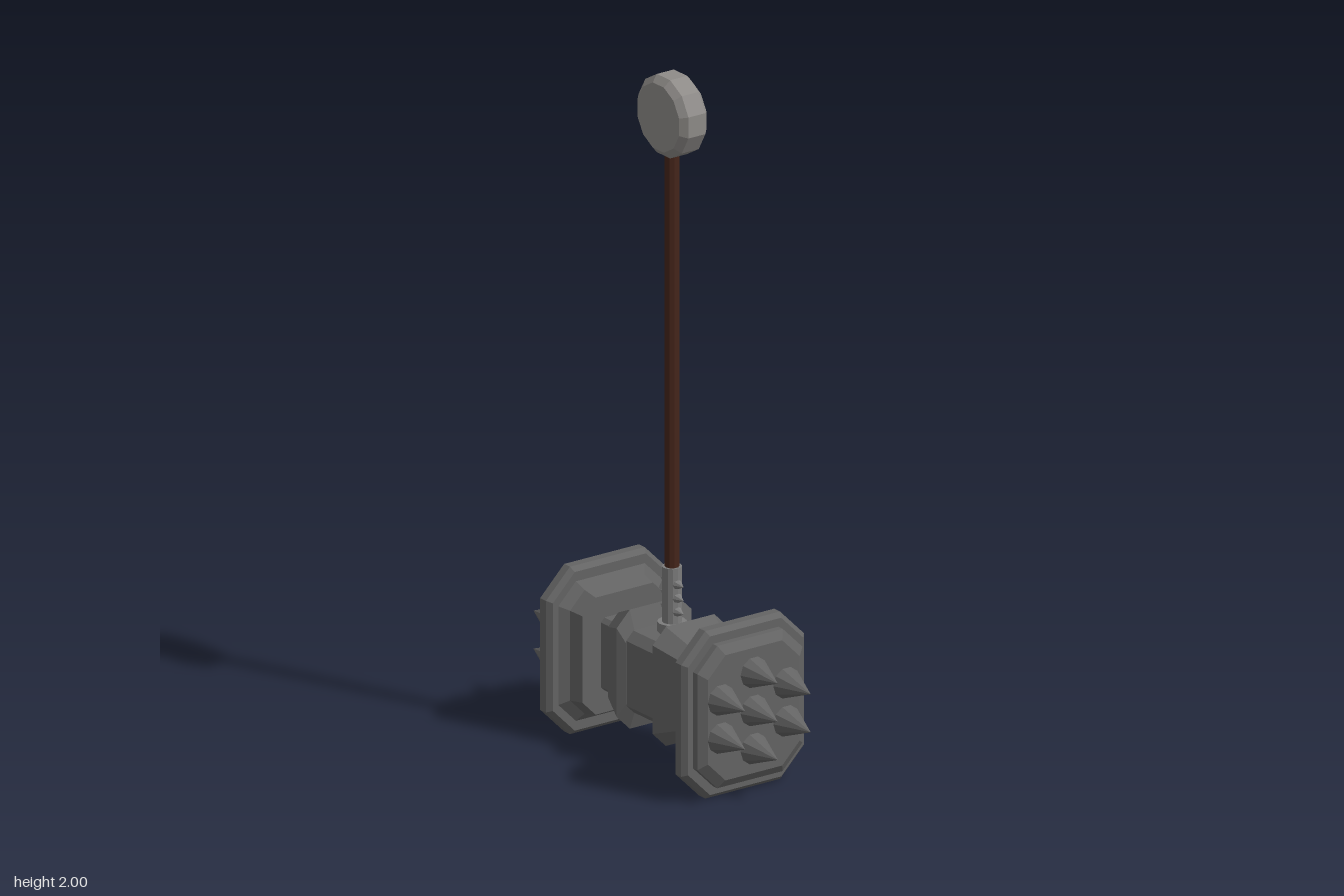
import * as THREE from 'three';

const mat = (name, color) => {
  const m = new THREE.MeshStandardMaterial({ color, flatShading: true });
  m.name = name;
  return m;
};

// Lofts chamfered rectangles along x; each section is [x, halfHeight, halfDepth, chamfer]
function loftX(sections) {
  const rings = sections.map(([x, h, d, c]) => [
    [h, -d + c], [h, d - c], [h - c, d], [-h + c, d],
    [-h, d - c], [-h, -d + c], [-h + c, -d], [h - c, -d],
  ].map(([y, z]) => [x, y, z]));
  const pos = [];
  const tri = (...pts) => pts.forEach(p => pos.push(...p));
  for (let i = 0; i < rings.length - 1; i++) {
    for (let j = 0; j < 8; j++) {
      const k = (j + 1) % 8;
      const a = rings[i][j], b = rings[i][k], c = rings[i + 1][k], d = rings[i + 1][j];
      tri(a, b, c);
      tri(a, c, d);
    }
  }
  const first = rings[0], last = rings[rings.length - 1];
  for (let j = 1; j < 7; j++) {
    tri(first[0], first[j + 1], first[j]);
    tri(last[0], last[j], last[j + 1]);
  }
  const g = new THREE.BufferGeometry();
  g.setAttribute('position', new THREE.Float32BufferAttribute(pos, 3));
  g.computeVertexNormals();
  return g;
}

export function createModel() {
  const model = new THREE.Group();
  model.name = 'spikedWarHammer';
  const iron = mat('dark iron', 0x646464);
  const steel = mat('steel', 0x7c7c7c);
  const pommelMetal = mat('pale metal', 0x8e8b88);
  const wood = mat('dark wood', 0x45251a);

  const add = (name, geometry, material, x = 0, y = 0, z = 0, parent = model) => {
    const mesh = new THREE.Mesh(geometry, material);
    mesh.name = name;
    mesh.position.set(x, y, z);
    parent.add(mesh);
    return mesh;
  };

  // Hammer body
  const headY = 0.247;
  add('centreBlock', loftX([[-0.08, 0.12, 0.11, 0.025], [0.08, 0.12, 0.11, 0.025]]), iron, 0, headY);
  add('neck', loftX([[-0.24, 0.107, 0.08, 0.012], [0.24, 0.107, 0.08, 0.012]]), iron, 0, headY);

  const collar = loftX([
    [0.062, 0.12, 0.112, 0.03], [0.083, 0.175, 0.128, 0.045], [0.163, 0.138, 0.098, 0.035],
  ]);
  const striker = loftX([
    [0.22, 0.172, 0.143, 0.045], [0.265, 0.182, 0.152, 0.05], [0.284, 0.205, 0.178, 0.06],
    [0.284, 0.233, 0.197, 0.075], [0.298, 0.246, 0.21, 0.082], [0.325, 0.246, 0.21, 0.082],
    [0.339, 0.233, 0.197, 0.075], [0.339, 0.209, 0.18, 0.068],
    [0.359, 0.209, 0.18, 0.068], [0.377, 0.184, 0.157, 0.06],
  ]);
  const spike = new THREE.ConeGeometry(0.046, 0.112, 10).rotateZ(-Math.PI / 2);
  const spikeSpots = [[0, 0], [0.112, 0], [-0.112, 0], [0.056, 0.112], [0.056, -0.112],
    [-0.056, 0.112], [-0.056, -0.112]];

  // Both striking ends, the second turned half round
  for (const [side, turn] of [['left', 0], ['right', Math.PI]]) {
    const end = new THREE.Group();
    end.name = side + 'End';
    end.position.y = headY;
    end.rotation.y = turn;
    model.add(end);
    add(side + 'Collar', collar, iron, 0, 0, 0, end);
    add(side + 'Striker', striker, iron, 0, 0, 0, end);
    spikeSpots.forEach(([y, z]) => add(side + 'Spike', spike, iron, 0.432, y, z, end));
  }

  // Socket with its small studs
  add('socketBase', new THREE.CylinderGeometry(0.041, 0.041, 0.035, 12), steel, 0, 0.378);
  add('socket', new THREE.CylinderGeometry(0.028, 0.028, 0.175, 12), steel, 0, 0.47);
  const stud = new THREE.ConeGeometry(0.016, 0.032, 8);
  for (const y of [0.43, 0.47, 0.51]) {
    for (const s of [-1, 1]) {
      add('socketStud', stud, steel, s * 0.038, y).rotation.z = -s * Math.PI / 2;
    }
  }

  // Handle
  add('handle', new THREE.CylinderGeometry(0.021, 0.021, 1.25, 10), wood, 0, 1.165);

  // Bevelled twelve-sided pommel facing front
  const outline = [[0, -0.047], [0.099, -0.047], [0.119, -0.029], [0.119, 0.029], [0.099, 0.047], [0, 0.047]]
    .map(([r, y]) => new THREE.Vector2(r, y));
  const pommel = new THREE.LatheGeometry(outline, 12, Math.PI / 12).rotateX(Math.PI / 2);
  add('pommel', pommel, pommelMetal, 0, 1.885);

  return model;
}
